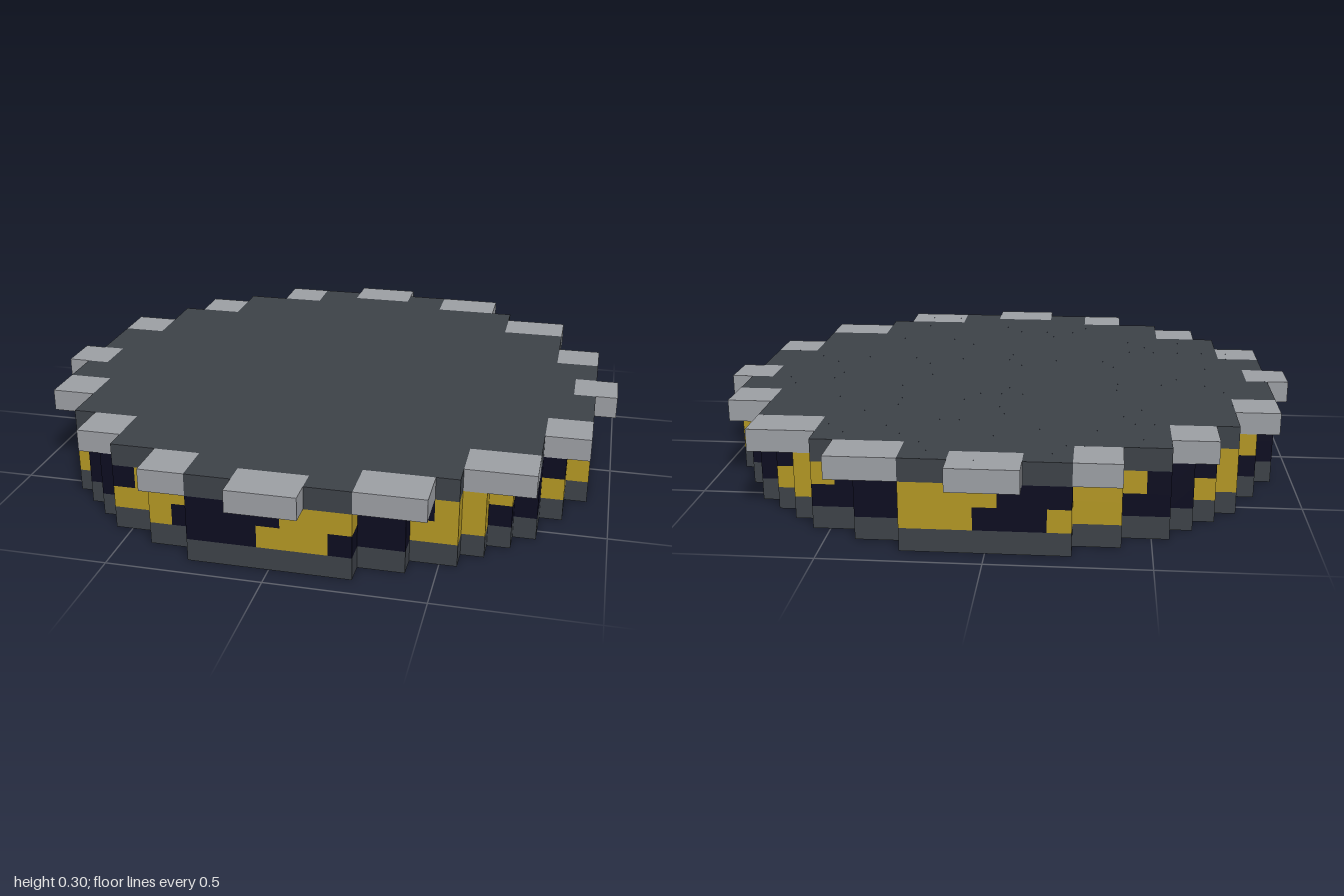
import * as THREE from 'three';
import { mergeGeometries } from 'three/addons/utils/BufferGeometryUtils.js';

const UNIT = 2 / 27; // edge of one block

// Round, blocky plate, 25 blocks across
const inDisc = (x, z) => x * x + z * z <= 12.5 * 12.5;

// Rim blocks in the top layer: [xMin, xMax, zMin, zMax] in block indices
const RIM_BLOCKS = [
  [-1, 1, -13, -12], [4, 6, -12, -11], [8, 10, -9, -8], [11, 12, -5, -4],
  [12, 13, -1, 0], [11, 12, 4, 5], [8, 10, 8, 9], [4, 6, 11, 12],
  [-1, 1, 12, 13], [-5, -4, 11, 12], [-9, -8, 8, 9], [-12, -11, 4, 5],
  [-13, -12, 0, 1], [-12, -11, -5, -4], [-9, -8, -9, -8], [-5, -4, -12, -11],
];
const inRim = (x, z) => RIM_BLOCKS.some(([a, b, c, d]) => x >= a && x <= b && z >= c && z <= d);

// Eleven slanted warning stripes around the side; each layer is shifted by one block
function isYellow(x, y, z) {
  const period = 360 / 11;
  const start = y === 2 ? 1.5 : -2.9;
  const angle = THREE.MathUtils.radToDeg(Math.atan2(x, z)) - start;
  return THREE.MathUtils.euclideanModulo(angle, period) < 15.2;
}

// Which part fills a block, or null where it is empty
function partAt(x, y, z) {
  if (y < 0 || y > 3) return null;
  if (y === 3 && inRim(x, z)) return 'rimBlocks';
  if (!inDisc(x, z)) return null;
  if (y === 0) return 'basePlate';
  if (y === 3) return 'deck';
  return isYellow(x, y, z) ? 'yellowStripes' : 'darkStripes';
}

const DIRECTIONS = [
  [1, 0, 0], [-1, 0, 0], [0, 1, 0], [0, -1, 0], [0, 0, 1], [0, 0, -1],
].map((d) => new THREE.Vector3(...d));

// One outward square on the given side of a block
function blockFace(x, y, z, dir) {
  return new THREE.PlaneGeometry(1, 1)
    .lookAt(dir)
    .translate(x + dir.x / 2, y + 0.5 + dir.y / 2, z + dir.z / 2)
    .scale(UNIT, UNIT, UNIT);
}

export function createModel() {
  const mat = (name, color) => {
    const m = new THREE.MeshStandardMaterial({ color });
    m.name = name;
    return m;
  };
  const darkGrey = mat('dark grey', 0x3d4248);
  const materials = {
    basePlate: darkGrey,
    darkStripes: mat('midnight', 0x0c0c20),
    yellowStripes: mat('yellow', 0xb39724),
    deck: darkGrey,
    rimBlocks: mat('light grey', 0x9c9fa4),
  };

  // Collect the exposed faces of every block by part
  const faces = Object.fromEntries(Object.keys(materials).map((k) => [k, []]));
  for (let y = 0; y < 4; y++) {
    for (let x = -13; x <= 13; x++) {
      for (let z = -13; z <= 13; z++) {
        const part = partAt(x, y, z);
        if (!part) continue;
        for (const d of DIRECTIONS) {
          if (!partAt(x + d.x, y + d.y, z + d.z)) faces[part].push(blockFace(x, y, z, d));
        }
      }
    }
  }

  const model = new THREE.Group();
  model.name = 'roundPlatform';
  for (const [part, list] of Object.entries(faces)) {
    const mesh = new THREE.Mesh(mergeGeometries(list), materials[part]);
    mesh.name = part;
    model.add(mesh);
  }
  return model;
}
